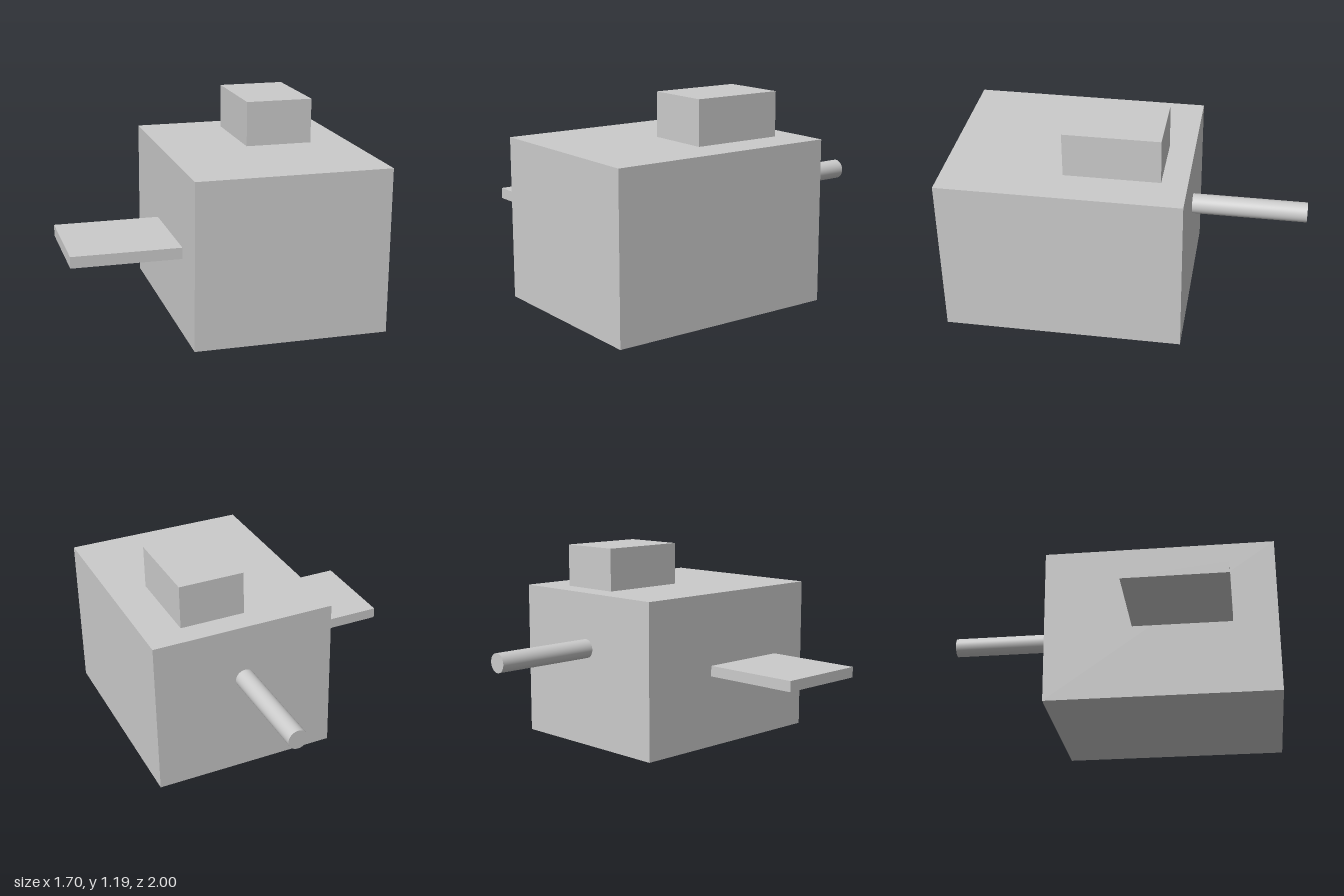
import * as THREE from 'three';

const material = new THREE.MeshStandardMaterial({ color: 0xcccccc });

// Box given by its lower and upper corners
function block(name, min, max) {
  const size = max.map((v, i) => v - min[i]);
  const mesh = new THREE.Mesh(new THREE.BoxGeometry(...size), material);
  mesh.name = name;
  mesh.position.set(...max.map((v, i) => (v + min[i]) / 2));
  return mesh;
}

export function createModel() {
  const model = new THREE.Group();
  model.name = 'boxWithAttachments';

  // Main body, raised block on top and thin shelf on the right side
  model.add(
    block('body', [-0.242, 0, -0.348], [0.847, 0.93, 1]),
    block('topBlock', [0.24, 0.93, -0.203], [0.625, 1.186, 0.335]),
    block('sideShelf', [-0.85, 0.432, 0.163], [-0.242, 0.496, 0.742]),
  );

  // Round rod out of the back
  const rodLength = 0.652;
  const rodGeometry = new THREE.CylinderGeometry(0.057, 0.057, rodLength, 48);
  rodGeometry.rotateX(Math.PI / 2);
  const rod = new THREE.Mesh(rodGeometry, material);
  rod.name = 'backRod';
  rod.position.set(0.304, 0.595, -1 + rodLength / 2);
  model.add(rod);

  return model;
}
